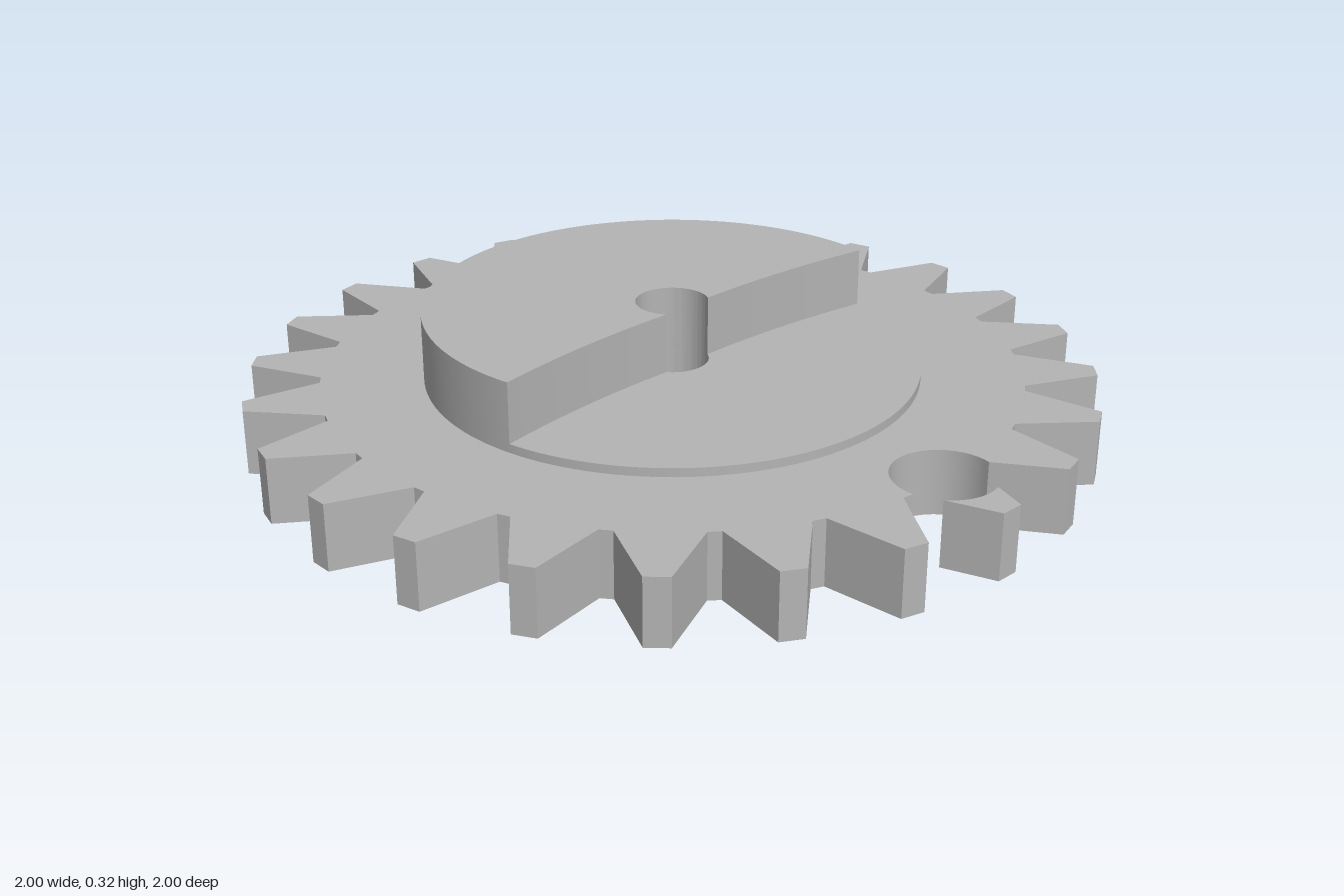
import * as THREE from 'three';
import { toCreasedNormals } from 'three/addons/utils/BufferGeometryUtils.js';

const TEETH = 24, TIP_R = 1.005, ROOT_R = 0.83;
const BORE_R = 0.087, DISC_R = 0.588;
const NOTCH = { x: 0.657, y: -0.477, r: 0.118 };
const deg = THREE.MathUtils.degToRad;
const polar = (r, a) => new THREE.Vector2(r * Math.cos(deg(a)), r * Math.sin(deg(a)));

// Gear profile, counter-clockwise
function gearOutline() {
  const pts = [];
  for (let i = 0; i < TEETH; i++) {
    const a = (i + 0.5) * 360 / TEETH;
    pts.push(polar(ROOT_R, a - 6.45), polar(TIP_R, a - 1.6), polar(TIP_R, a + 1.6), polar(ROOT_R, a + 6.45));
  }
  return pts;
}

// Cuts the round notch out of the outline; returns the remaining closed pieces
function cutNotch(outline) {
  const c = new THREE.Vector2(NOTCH.x, NOTCH.y);
  const pts = [];
  outline.forEach((p, i) => {
    const d = outline[(i + 1) % outline.length].clone().sub(p);
    const f = p.clone().sub(c);
    pts.push({ p, cut: false, inside: f.length() < NOTCH.r });
    const A = d.dot(d), B = f.dot(d), disc = B * B - A * (f.dot(f) - NOTCH.r ** 2);
    if (disc <= 0) return;
    for (const s of [-1, 1]) {
      const t = (-B + s * Math.sqrt(disc)) / A;
      if (t > 0 && t < 1) pts.push({ p: p.clone().addScaledVector(d, t), cut: true, inside: false, leaving: s > 0 });
    }
  });
  // Each piece runs from where the outline leaves the circle to where it enters again
  const pieces = [];
  pts.forEach((start, i) => {
    if (!start.leaving) return;
    const run = [start.p];
    let k = i, q;
    do {
      q = pts[++k % pts.length];
      run.push(q.p);
    } while (!q.cut);
    const a0 = Math.atan2(q.p.y - c.y, q.p.x - c.x);
    let a1 = Math.atan2(start.p.y - c.y, start.p.x - c.x);
    if (a1 > a0) a1 -= 2 * Math.PI;
    const n = Math.max(2, Math.ceil((a0 - a1) / 0.12));
    for (let j = 1; j < n; j++) {
      const a = a0 + (a1 - a0) * j / n;
      run.push(new THREE.Vector2(c.x + NOTCH.r * Math.cos(a), c.y + NOTCH.r * Math.sin(a)));
    }
    pieces.push(run);
  });
  return pieces;
}

function addBore(shape) {
  shape.holes.push(new THREE.Path().absarc(0, 0, BORE_R, 0, Math.PI * 2, true));
  return shape;
}

export function createModel() {
  const model = new THREE.Group();
  model.name = 'gear';
  const grey = new THREE.MeshStandardMaterial({ color: 0xb4b4b4 });
  grey.name = 'grey';

  // Upright extrusion of a plan shape between two heights
  const slab = (name, shape, y0, y1) => {
    const g = new THREE.ExtrudeGeometry(shape, { depth: y1 - y0, bevelEnabled: false, curveSegments: 64 });
    g.rotateX(-Math.PI / 2);
    g.translate(0, y0, 0);
    const mesh = new THREE.Mesh(toCreasedNormals(g, 0.35), grey);
    mesh.name = name;
    model.add(mesh);
  };

  // Toothed wheel and the tooth tip separated by the notch
  const pieces = cutNotch(gearOutline()).sort((a, b) => b.length - a.length);
  pieces.forEach((pts, i) => {
    const shape = new THREE.Shape(pts);
    if (i === 0) addBore(shape);
    slab(i === 0 ? 'toothedWheel' : 'cutToothTip', shape, 0, 0.157);
  });

  // Thin round step
  slab('disc', addBore(new THREE.Shape().absarc(0, 0, DISC_R, 0, Math.PI * 2, false)), 0.157, 0.178);

  // Raised half with gently curved walls
  const a0 = deg(45.7), a1 = deg(242.6), b0 = deg(-90), b1 = deg(23.5);
  const half = new THREE.Shape();
  half.absarc(0, 0, DISC_R, a0, a1, false);
  half.quadraticCurveTo(-0.156, -0.29, BORE_R * Math.cos(b0), BORE_R * Math.sin(b0));
  half.absarc(0, 0, BORE_R, b0, b1, true);
  half.quadraticCurveTo(0.227, 0.244, DISC_R * Math.cos(a0), DISC_R * Math.sin(a0));
  slab('raisedHalf', half, 0.178, 0.323);

  return model;
}
